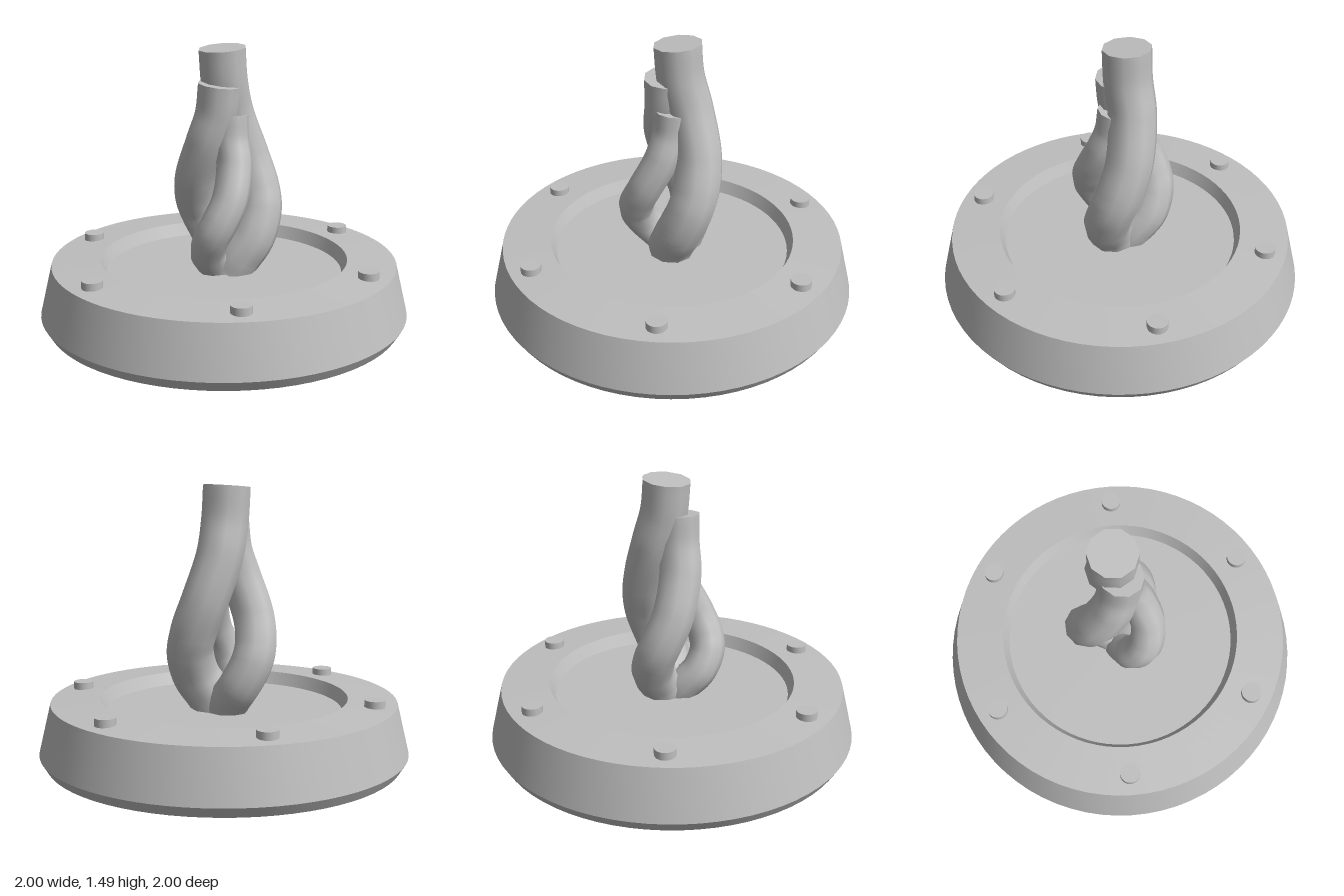
import * as THREE from 'three';
import { toCreasedNormals } from 'three/addons/utils/BufferGeometryUtils.js';

const FLOOR = 0.275;
const RADIAL = 10;
const STEPS = 48;

// Distance of a strand from the axis along its length: [t, radius]
const BULGE = [[0, 0.04], [0.06, 0.08], [0.15, 0.15], [0.27, 0.192], [0.36, 0.192],
  [0.5, 0.16], [0.7, 0.092], [0.85, 0.046], [1, 0.035]];

// Path of one strand, twisting 130 degrees as it rises to its top
function strandCurve(startDegrees, top) {
  const points = BULGE.map(([t, r]) => {
    const a = THREE.MathUtils.degToRad(startDegrees - 130 * t);
    return new THREE.Vector3(r * Math.cos(a), FLOOR + 0.005 + t * (top - FLOOR - 0.005), r * Math.sin(a));
  });
  return new THREE.CatmullRomCurve3(points);
}

// Flat fan closing one end ring of a tube
function endCap(tube, center, ring, atEnd) {
  const pos = tube.attributes.position;
  const corner = (j) => new THREE.Vector3().fromBufferAttribute(pos, ring * (RADIAL + 1) + j);
  const points = [];
  for (let j = 0; j < RADIAL; j++) {
    const pair = [corner(j), corner(j + 1)];
    if (atEnd) pair.reverse();
    points.push(center, ...pair);
  }
  const geo = new THREE.BufferGeometry().setFromPoints(points);
  geo.computeVertexNormals();
  return geo;
}

export function createModel() {
  const model = new THREE.Group();
  const grey = new THREE.MeshStandardMaterial({ color: 0xbfbfbf });
  grey.name = 'plain grey';

  const add = (parent, geometry, name) => {
    const mesh = new THREE.Mesh(geometry, grey);
    mesh.name = name;
    parent.add(mesh);
    return mesh;
  };

  // Round base with chamfered foot, sloping side and recessed dish
  const profile = [[0, 0], [0.965, 0], [1, 0.057], [0.935, 0.33], [0.67, 0.345], [0.64, FLOOR], [0, FLOOR]]
    .map(([x, y]) => new THREE.Vector2(x, y));
  add(model, toCreasedNormals(new THREE.LatheGeometry(profile, 72), 0.2), 'base');

  // Six studs around the rim
  const studs = new THREE.Group();
  studs.name = 'rimStuds';
  for (let i = 0; i < 6; i++) {
    const a = i * Math.PI / 3;
    const stud = add(studs, new THREE.CylinderGeometry(0.055, 0.055, 0.05, 24), 'stud');
    stud.position.set(0.82 * Math.cos(a), 0.35, 0.82 * Math.sin(a));
  }
  model.add(studs);

  // Three intertwined strands of different height and thickness
  const strands = [
    ['tallStrand', 0, 1.48, 0.128],
    ['middleStrand', 240, 1.295, 0.115],
    ['shortStrand', 120, 1.125, 0.096],
  ];
  for (const [name, angle, top, radius] of strands) {
    const strand = new THREE.Group();
    strand.name = name;
    const curve = strandCurve(angle, top);
    const tube = new THREE.TubeGeometry(curve, STEPS, radius, RADIAL, false);
    add(strand, tube, 'stem');
    add(strand, endCap(tube, curve.getPointAt(0), 0, false), 'bottomCap');
    add(strand, endCap(tube, curve.getPointAt(1), STEPS, true), 'topCap');
    model.add(strand);
  }

  return model;
}
